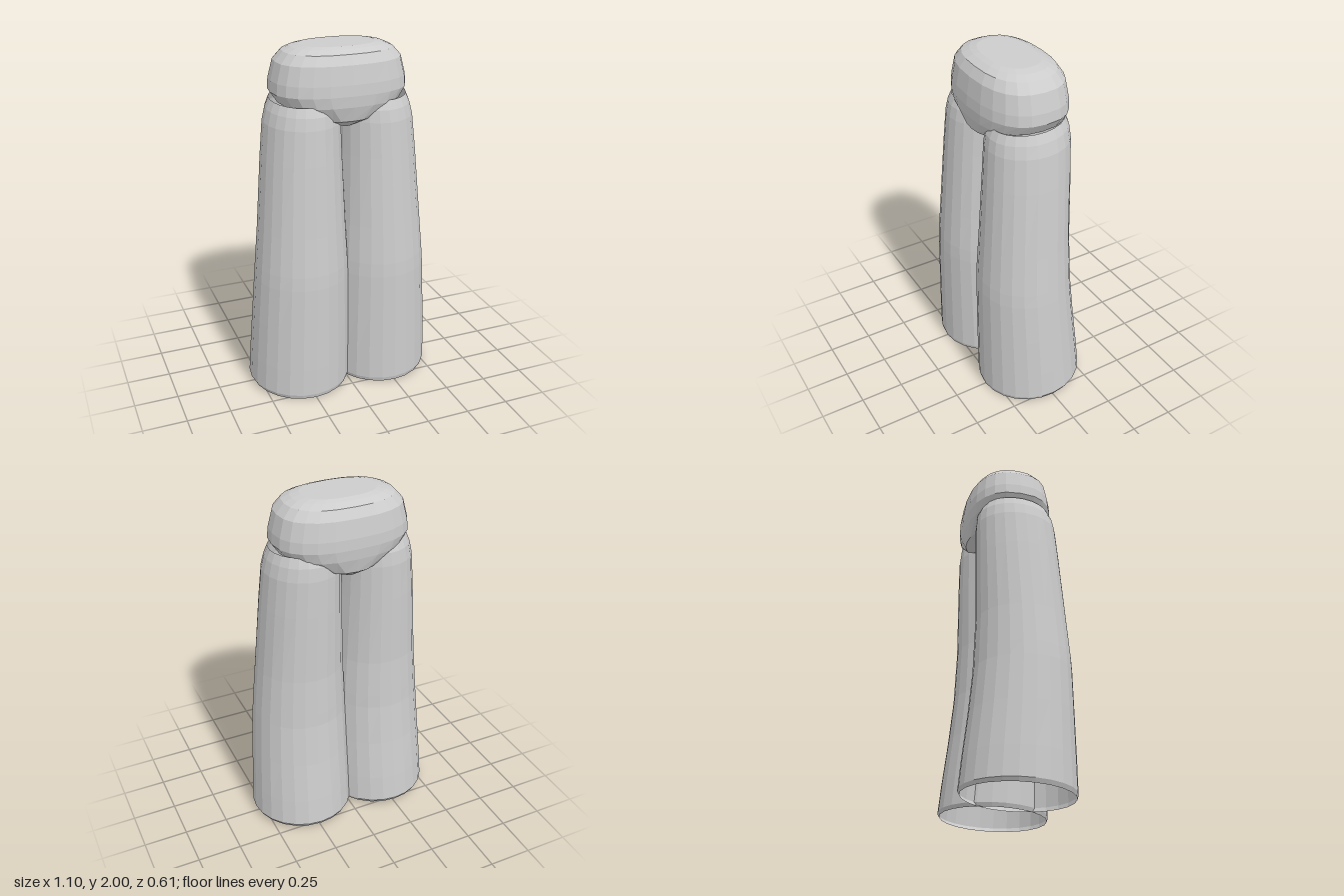
import * as THREE from 'three';

// Skin rings of [y, xMin, xMax, zBack, zFront, tilt]; tilt raises the back and lowers the front.
function loft(rings, sides, power, capped) {
  const pos = [], index = [];
  const bend = (v) => Math.sign(v) * Math.pow(Math.abs(v), 2 / power);
  for (const [y, x0, x1, z0, z1, tilt = 0] of rings) {
    for (let j = 0; j < sides; j++) {
      const a = (j / sides) * Math.PI * 2;
      const c = bend(Math.cos(a)), s = bend(Math.sin(a));
      pos.push((x0 + x1) / 2 + c * (x1 - x0) / 2, y - tilt * s, (z0 + z1) / 2 + s * (z1 - z0) / 2);
    }
  }
  for (let i = 0; i < rings.length - 1; i++) {
    for (let j = 0; j < sides; j++) {
      const k = (j + 1) % sides;
      const a = i * sides + j, b = i * sides + k;
      index.push(a, a + sides, b, b, a + sides, b + sides);
    }
  }
  if (capped) {
    const last = rings.length - 1;
    for (const r of [0, last]) {
      const [y, x0, x1, z0, z1] = rings[r];
      const centre = pos.length / 3;
      pos.push((x0 + x1) / 2, y, (z0 + z1) / 2);
      for (let j = 0; j < sides; j++) {
        const a = r * sides + j, b = r * sides + (j + 1) % sides;
        if (r === 0) index.push(centre, a, b);
        else index.push(centre, b, a);
      }
    }
  }
  const indexed = new THREE.BufferGeometry();
  indexed.setAttribute('position', new THREE.Float32BufferAttribute(pos, 3));
  indexed.setIndex(index);
  const geometry = indexed.toNonIndexed();
  geometry.computeVertexNormals();
  return geometry;
}

export function createModel() {
  const model = new THREE.Group();
  model.name = 'trousers';

  const cloth = new THREE.MeshStandardMaterial({ color: 0xcccccc, flatShading: true, side: THREE.DoubleSide });
  cloth.name = 'lightGreyCloth';

  // Trouser legs: open tubes, flared at the hem and drawn in at the top
  const legRings = [
    [0.013, -0.04, 0.54, -0.295, 0.303, 0.012],
    [0.035, -0.05, 0.552, -0.305, 0.309, 0.010],
    [0.20, -0.048, 0.543, -0.288, 0.309, 0.008],
    [0.45, -0.042, 0.527, -0.258, 0.307, 0],
    [0.70, -0.035, 0.509, -0.233, 0.305, 0],
    [0.78, -0.032, 0.502, -0.230, 0.302, 0],
    [1.00, -0.02, 0.481, -0.221, 0.285, 0],
    [1.40, -0.005, 0.446, -0.225, 0.256, 0],
    [1.60, 0.0, 0.425, -0.225, 0.241, 0.006],
    [1.67, 0.008, 0.407, -0.217, 0.229, 0.010],
    [1.722, 0.03, 0.385, -0.195, 0.208, 0.012],
  ];
  for (const side of [1, -1]) {
    const rings = legRings.map(([y, x0, x1, ...rest]) =>
      side > 0 ? [y, x0, x1, ...rest] : [y, -x1, -x0, ...rest]);
    const leg = new THREE.Mesh(loft(rings, 24, 2, false), cloth);
    leg.name = side > 0 ? 'leftLeg' : 'rightLeg';
    model.add(leg);
  }

  // Hips: closed rounded block, tapering to the crotch between the legs
  const hipRings = [
    [1.575, 0.05, -0.17, 0.15],
    [1.62, 0.18, -0.232, 0.222],
    [1.70, 0.34, -0.25, 0.242],
    [1.76, 0.381, -0.256, 0.246],
    [1.82, 0.376, -0.254, 0.242],
    [1.92, 0.35, -0.238, 0.226],
    [1.97, 0.305, -0.205, 0.195],
    [1.99, 0.26, -0.165, 0.155],
    [2.00, 0.21, -0.135, 0.125],
  ].map(([y, half, back, front]) => [y, -half, half, back, front]);
  const hips = new THREE.Mesh(loft(hipRings, 24, 2.5, true), cloth);
  hips.name = 'hips';
  model.add(hips);

  return model;
}
